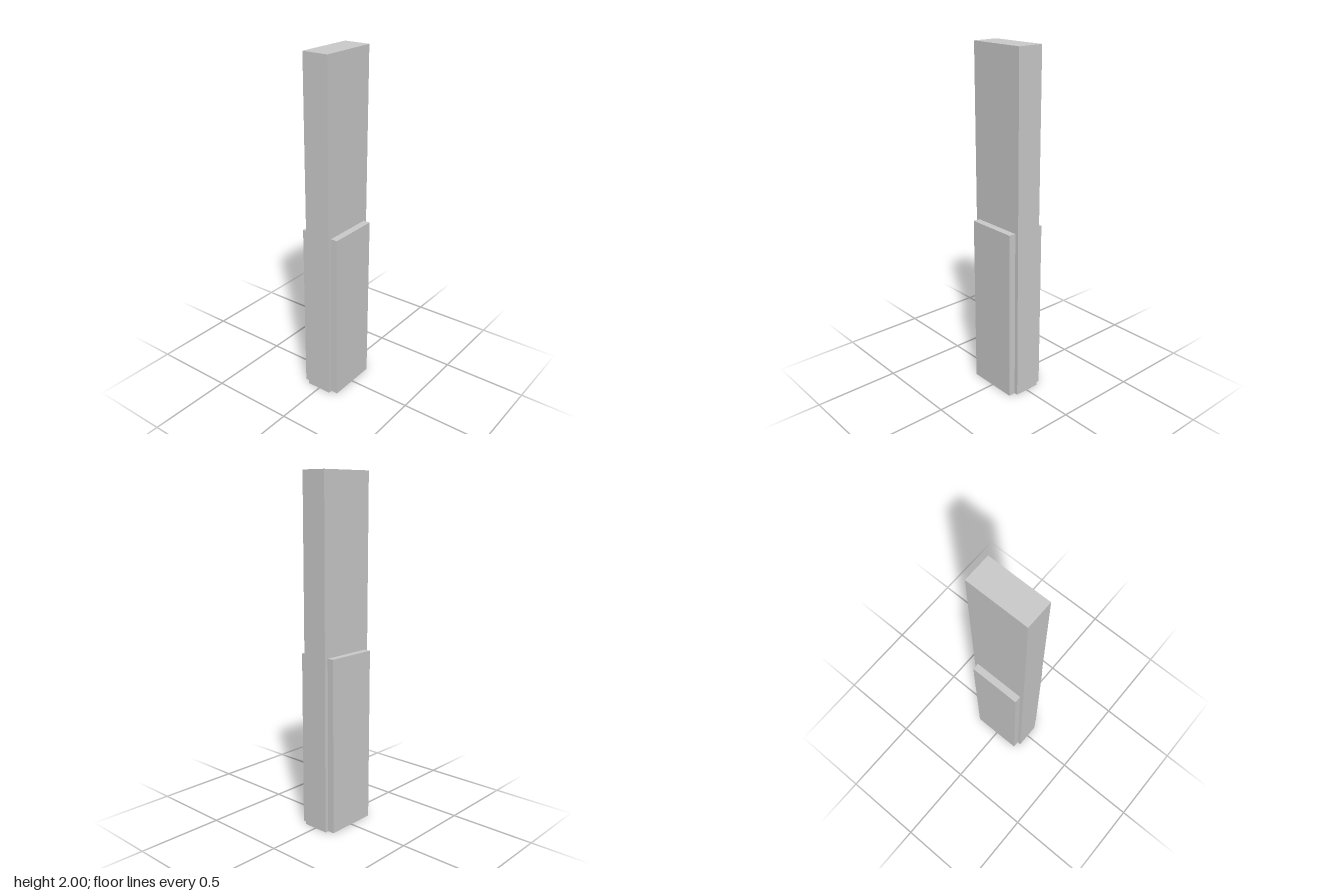
import * as THREE from 'three';

export function createModel() {
  const group = new THREE.Group();
  const material = new THREE.MeshStandardMaterial({ color: 0xcccccc });

  // Adds a box standing on the ground, spanning z0 to z1
  function addSlab(name, width, height, z0, z1) {
    const mesh = new THREE.Mesh(new THREE.BoxGeometry(width, height, z1 - z0), material);
    mesh.name = name;
    mesh.position.set(0, height / 2, (z0 + z1) / 2);
    group.add(mesh);
  }

  // Tall central bar
  addSlab('bar', 0.352, 2, -0.079, 0.076);

  // Narrower half-height plates on both broad faces
  addSlab('frontPlate', 0.307, 1.01, 0.076, 0.117);
  addSlab('backPlate', 0.307, 1.01, -0.119, -0.079);

  return group;
}
